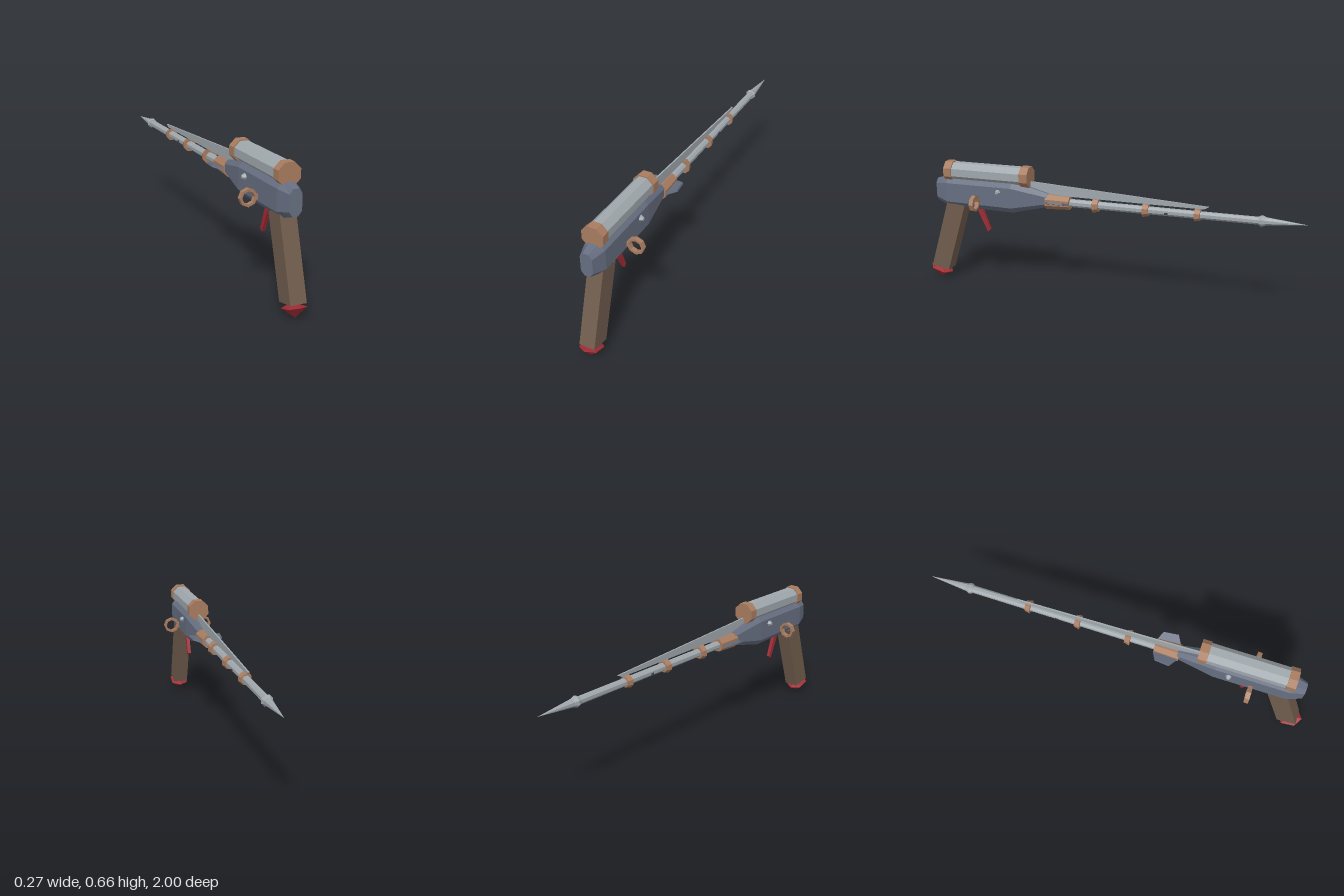
import * as THREE from 'three';
import { ConvexGeometry } from 'three/addons/geometries/ConvexGeometry.js';

const makeMat = (name, color, side = THREE.FrontSide) => {
  const m = new THREE.MeshStandardMaterial({ color, side });
  m.name = name;
  return m;
};

// Faceted normals for every part
function faceted(geo) {
  const g = geo.index ? geo.toNonIndexed() : geo;
  g.computeVertexNormals();
  return g;
}

// Eight-sided tube along z, flat side up; rBack is the radius at the +z end
function tubeZ(zBack, zFront, rBack, rFront, y) {
  const g = new THREE.CylinderGeometry(rBack, rFront, zBack - zFront, 8);
  g.rotateY(Math.PI / 8);
  g.rotateX(Math.PI / 2);
  g.translate(0, y, (zBack + zFront) / 2);
  return g;
}

// Plate drawn as [z, y] points, centred on x = 0
function sidePlate(points, width) {
  const shape = new THREE.Shape(points.map(([z, y]) => new THREE.Vector2(-z, y)));
  const g = new THREE.ExtrudeGeometry(shape, { depth: width, bevelEnabled: false });
  g.translate(0, 0, -width / 2);
  g.rotateY(Math.PI / 2);
  return g;
}

// Loft of chamfered rectangles; each section is [z, halfWidth, yLow, yHigh, chamfer]
function loftBody(sections) {
  const pos = [], idx = [], n = 8;
  for (const [z, w, lo, hi, c] of sections) {
    const t = w * 0.45;
    const ring = [[w, lo + c], [w, hi - c], [t, hi], [-t, hi],
      [-w, hi - c], [-w, lo + c], [-t, lo], [t, lo]];
    for (const [x, y] of ring) pos.push(x, y, z);
  }
  for (let k = 0; k < sections.length - 1; k++) {
    for (let i = 0; i < n; i++) {
      const a = k * n + i, b = k * n + (i + 1) % n;
      idx.push(a, a + n, b, b, a + n, b + n);
    }
  }
  const last = (sections.length - 1) * n;
  for (let i = 1; i < n - 1; i++) {
    idx.push(0, i, i + 1, last, last + i + 1, last + i);
  }
  const g = new THREE.BufferGeometry();
  g.setAttribute('position', new THREE.Float32BufferAttribute(pos, 3));
  g.setIndex(idx);
  return g;
}

export function createModel() {
  const group = new THREE.Group();
  group.name = 'harpoonPistol';
  const slate = makeMat('slate metal', 0x666e80);
  const copper = makeMat('copper', 0xa87c60);
  const steel = makeMat('pale steel', 0xa0a8ad);
  const wood = makeMat('dark wood', 0x705c4d);
  const red = makeMat('red', 0xa02c35);
  const dark = makeMat('dark slot', 0x3c4048);

  const add = (name, geo, mat) => {
    const mesh = new THREE.Mesh(faceted(geo), mat);
    mesh.name = name;
    group.add(mesh);
    return mesh;
  };

  // Receiver
  add('body', loftBody([
    [0.925, 0.03, 0.44, 0.558, 0.022],
    [0.855, 0.051, 0.415, 0.575, 0.03],
    [0.49, 0.051, 0.41, 0.575, 0.03],
    [0.295, 0.03, 0.457, 0.527, 0.018],
  ]), slate);

  // Tank on top with its two end caps
  const tankY = 0.603;
  add('tank', tubeZ(0.85, 0.41, 0.051, 0.051, tankY), steel);
  add('tankRearCap', tubeZ(0.868, 0.825, 0.057, 0.057, tankY), copper);
  add('tankFrontCap', tubeZ(0.44, 0.395, 0.057, 0.057, tankY), copper);

  // Barrel, collar and bands
  const barrelY = 0.485;
  add('barrel', tubeZ(0.25, -0.79, 0.021, 0.019, barrelY), steel);
  add('collar', tubeZ(0.305, 0.178, 0.042, 0.036, barrelY), copper);
  [[0.04, 0.039], [-0.22, 0.036], [-0.48, 0.033]].forEach(([z, r], i) =>
    add('barrelBand' + (i + 1), tubeZ(z + 0.014, z - 0.014, r, r * 0.82, barrelY), copper));

  // Spike
  add('spikeRing', tubeZ(-0.775, -0.79, 0.022, 0.028, barrelY), steel);
  add('spikeBase', tubeZ(-0.79, -0.81, 0.028, 0.02, barrelY), steel);
  add('spike', tubeZ(-0.81, -1.0, 0.02, 0.0005, barrelY), steel);

  // Long sight blade
  add('blade', sidePlate([[0.45, 0.58], [0.38, 0.58], [-0.535, 0.53],
    [-0.51, 0.516], [0.19, 0.518], [0.45, 0.53]], 0.008), steel);

  // Grip and trigger
  add('grip', sidePlate([[0.86, 0.445], [0.975, 0.072], [0.878, 0.052],
    [0.763, 0.42]], 0.078), wood);
  add('trigger', sidePlate([[0.7, 0.4], [0.677, 0.42], [0.632, 0.298],
    [0.645, 0.285]], 0.018), red);

  // Faceted pommel gem
  const gem = [[0, 0.066, 1.0], [0, 0.03, 0.875], [0, 0, 0.948], [0, 0.066, 0.94]];
  for (const s of [-1, 1]) gem.push([s * 0.045, 0.054, 0.972], [s * 0.045, 0.034, 0.905]);
  add('pommel', new ConvexGeometry(gem.map((p) => new THREE.Vector3(...p))), red);

  // Mirrored side parts
  for (const s of [-1, 1]) {
    const side = s > 0 ? 'left' : 'right';

    const ringShape = new THREE.Shape();
    const hole = new THREE.Path();
    for (let i = 0; i < 8; i++) {
      const c = Math.cos(i * Math.PI / 4), n = Math.sin(i * Math.PI / 4);
      if (i === 0) {
        ringShape.moveTo(0.042, 0);
        hole.moveTo(0.03, 0);
      } else {
        ringShape.lineTo(0.042 * c, 0.042 * n);
        hole.lineTo(0.03 * c, 0.03 * n);
      }
    }
    ringShape.closePath();
    hole.closePath();
    ringShape.holes.push(hole);
    const ring = new THREE.ExtrudeGeometry(ringShape, { depth: 0.022, bevelEnabled: false });
    ring.translate(s * 0.094, 0.462, 0.664);
    add(side + 'Ring', ring, copper);
    const mount = new THREE.BoxGeometry(0.018, 0.026, 0.022);
    mount.translate(s * 0.055, 0.462, 0.675);
    add(side + 'RingMount', mount, copper);

    const bolt = new THREE.CylinderGeometry(0.008, 0.016, 0.018, 6);
    bolt.rotateZ(-s * Math.PI / 2);
    bolt.translate(s * 0.059, 0.52, 0.56);
    add(side + 'Bolt', bolt, steel);

    // Swept fin rising outwards beside the collar
    const finShape = new THREE.Shape([[0, -0.3], [0.05, -0.272], [0.042, -0.198], [0, -0.178]]
      .map(([x, y]) => new THREE.Vector2(s * x, y)));
    const fin = new THREE.ExtrudeGeometry(finShape, { depth: 0.01, bevelEnabled: false });
    fin.rotateX(-Math.PI / 2);
    fin.rotateZ(s * 0.33);
    fin.translate(s * 0.038, 0.478, 0);
    add(side + 'Fin', fin, slate);

    const slot = new THREE.BoxGeometry(0.003, 0.01, 0.018);
    slot.translate(s * 0.0188, 0.48, -0.325);
    add(side + 'BarrelSlot', slot, dark);
  }
  return group;
}
